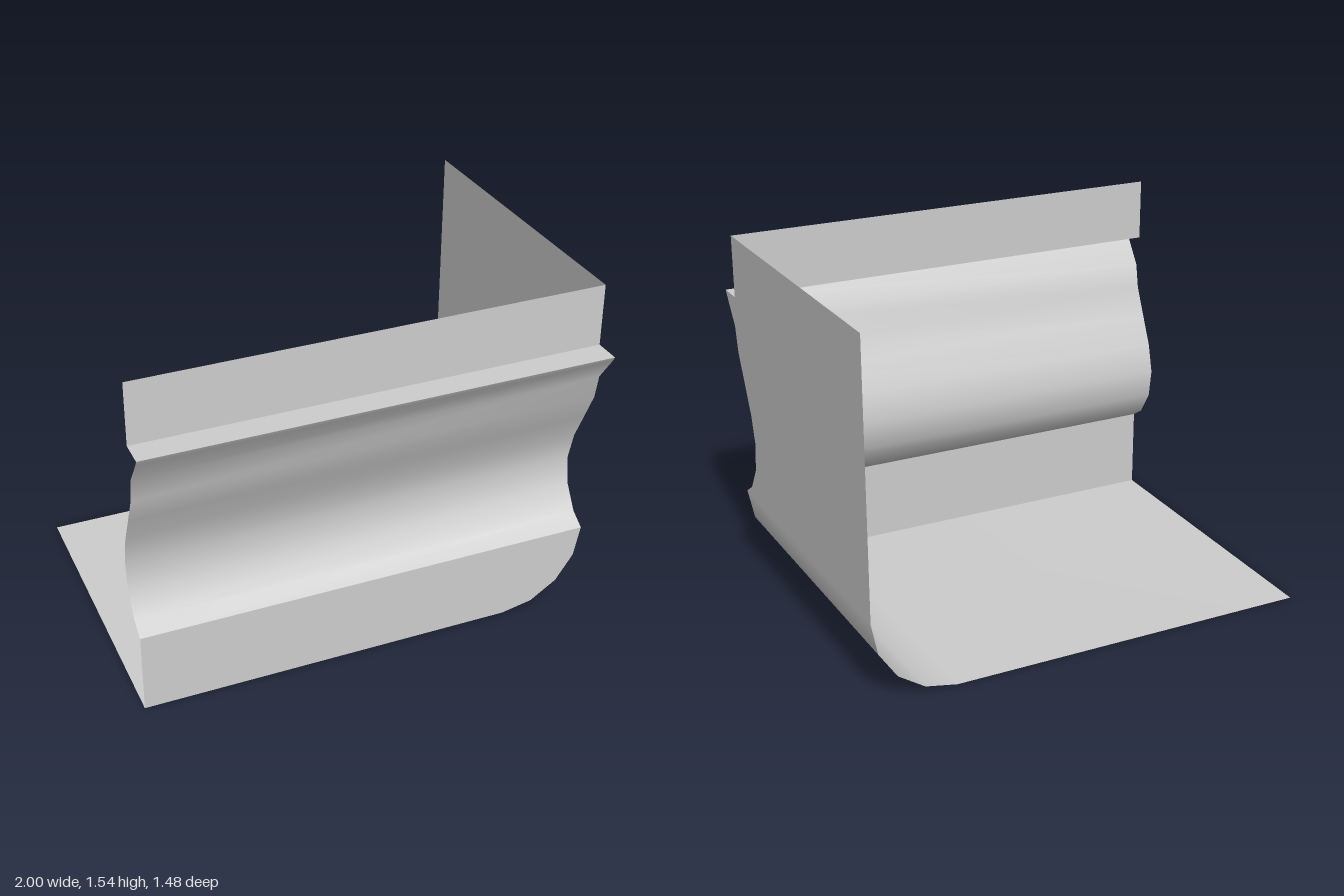
import * as THREE from 'three';

const LEFT = -1, BACK = -0.74, FRONT = 0.628, TOP = 1.54, R = 0.36, LEDGE = 1.268;
// The end wall leans slightly inwards towards the back
const endX = (z) => 1 - 0.027 * (0.74 - z);

// Curved front moulding as [z, y], bottom to top
const moulding = [
  [FRONT, R], [0.56, 0.405], [0.495, 0.51], [0.477, 0.637], [0.509, 0.763],
  [0.568, 0.89], [FRONT, 1.02], [0.649, 1.13], [0.73, 1.245], [0.743, LEDGE],
];

// Strip of quads between two matching rows of points, smooth along its length
function strip(rowA, rowB) {
  const pos = [], index = [];
  rowA.forEach((a, i) => {
    pos.push(...a, ...rowB[i]);
    if (i) {
      const k = 2 * i;
      index.push(k - 2, k - 1, k + 1, k - 2, k + 1, k);
    }
  });
  const g = new THREE.BufferGeometry();
  g.setAttribute('position', new THREE.Float32BufferAttribute(pos, 3));
  g.setIndex(index);
  g.computeVertexNormals();
  return g;
}

// Sheet running the full width along a [z, y] profile
const across = (profile) => strip(
  profile.map(([z, y]) => [LEFT, y, z]),
  profile.map(([z, y]) => [endX(z), y, z]),
);

export function createModel() {
  const group = new THREE.Group();
  const grey = new THREE.MeshStandardMaterial({ color: 0xcccccc, side: THREE.DoubleSide });
  grey.name = 'light grey';
  const add = (name, geometry) => {
    const mesh = new THREE.Mesh(geometry, grey);
    mesh.name = name;
    group.add(mesh);
  };

  // Front face: moulding, ledge and upper band
  add('frontMoulding', across(moulding));
  add('ledge', across([[0.743, LEDGE], [FRONT, LEDGE]]));
  add('upperBand', across([[FRONT, LEDGE], [FRONT, TOP]]));

  // Floor rolling up into the end wall
  const floorRow = (z) => {
    const row = [[LEFT, 0, z]];
    for (let i = 0; i <= 4; i++) {
      const a = (i * Math.PI) / 8;
      row.push([endX(z) - R + R * Math.sin(a), R - R * Math.cos(a), z]);
    }
    return row;
  };
  const frontRow = floorRow(FRONT);
  const floor = strip(floorRow(BACK), frontRow);
  // Blend the top of the rounded corner into the flat wall
  const n = floor.attributes.normal;
  const s = Math.sign(n.getY(0));
  for (const i of [n.count - 2, n.count - 1]) n.setXYZ(i, -s, 0, s * 0.027);
  add('floorAndCorner', floor);

  // Lower front band, rounded at the end corner
  const bandShape = new THREE.Shape([
    ...frontRow.map(([x, y]) => new THREE.Vector2(x, y)),
    new THREE.Vector2(LEFT, R),
  ]);
  add('lowerBand', new THREE.ShapeGeometry(bandShape).translate(0, 0, FRONT));

  // End wall, its front edge cut to the moulding profile
  const outline = [[BACK, R], ...moulding, [FRONT, LEDGE], [FRONT, TOP], [BACK, TOP]];
  const wall = new THREE.ShapeGeometry(
    new THREE.Shape(outline.map(([z, y]) => new THREE.Vector2(-z, y))),
  );
  const p = wall.attributes.position;
  for (let i = 0; i < p.count; i++) {
    const z = -p.getX(i);
    p.setXYZ(i, endX(z), p.getY(i), z);
  }
  wall.computeVertexNormals();
  add('endWall', wall);

  return group;
}
